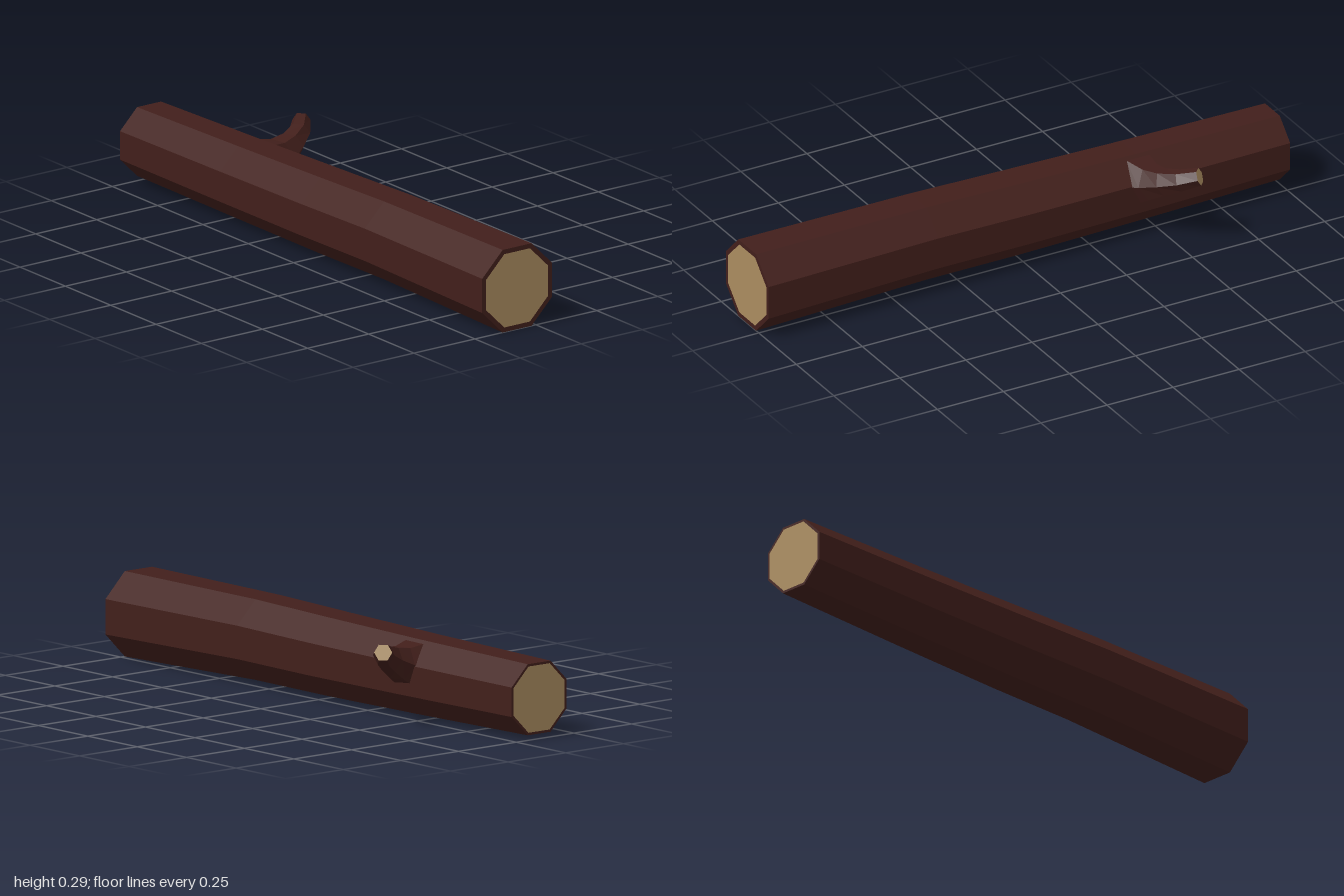
import * as THREE from 'three';

const bark = new THREE.MeshStandardMaterial({ color: 0x421f1b, flatShading: true });
const wood = new THREE.MeshStandardMaterial({ color: 0xab8d60, flatShading: true });

// Ring of points around a centre, counterclockwise about the reverse of dir
function ring(center, dir, radius, sides, phase) {
  const t = dir.clone().normalize();
  const u = new THREE.Vector3(0, 1, 0).cross(t).normalize();
  const v = t.clone().negate().cross(u);
  return Array.from({ length: sides }, (_, i) => {
    const a = phase + (i / sides) * Math.PI * 2;
    return center.clone().addScaledVector(u, radius * Math.cos(a)).addScaledVector(v, radius * Math.sin(a));
  });
}

function meshOf(points, material, name) {
  const geometry = new THREE.BufferGeometry().setFromPoints(points);
  geometry.computeVertexNormals();
  const mesh = new THREE.Mesh(geometry, material);
  mesh.name = name;
  return mesh;
}

// Skin joining successive rings
function loft(rings, name) {
  const points = [];
  for (let i = 0; i < rings.length - 1; i++) {
    const r = rings[i], s = rings[i + 1];
    r.forEach((a, j) => {
      const k = (j + 1) % r.length;
      points.push(a, s[j], r[k], r[k], s[j], s[k]);
    });
  }
  return meshOf(points, bark, name);
}

// Flat cut face filling a ring
function cutFace(loop, atEnd, name) {
  const points = [];
  for (let i = 1; i < loop.length - 1; i++) {
    points.push(loop[0], ...(atEnd ? [loop[i + 1], loop[i]] : [loop[i], loop[i + 1]]));
  }
  return meshOf(points, wood, name);
}

export function createModel() {
  const log = new THREE.Group();
  log.name = 'log';

  // Trunk: octagonal sections as [x, y, z, half width], tapering to the back
  const back = new THREE.Vector3(0, 0, -1);
  const section = ([x, y, z, half]) =>
    ring(new THREE.Vector3(x, y, z), back, half / Math.cos(Math.PI / 8), 8, Math.PI / 8);
  const sections = [
    [-0.077, 0.144, 1, 0.143],
    [-0.083, 0.149, 0.35, 0.135],
    [-0.086, 0.143, 0, 0.132],
    [-0.091, 0.139, -0.45, 0.126],
    [-0.099, 0.137, -1, 0.119],
  ];
  const frontRim = section([-0.077, 0.144, 1, 0.127]);
  const backRim = section([-0.099, 0.137, -1, 0.111]);
  log.add(loft([frontRim, ...sections.map(section), backRim], 'trunkBark'));
  log.add(cutFace(frontRim, false, 'frontCut'), cutFace(backRim, true, 'backCut'));

  // Branch stub: flared at the trunk, curving up and backwards
  const path = [
    [-0.02, 0.18, -0.455, 0.09],
    [0.045, 0.195, -0.465, 0.062],
    [0.1, 0.217, -0.48, 0.046],
    [0.153, 0.24, -0.51, 0.037],
    [0.197, 0.262, -0.557, 0.03],
  ];
  const centers = path.map(([x, y, z]) => new THREE.Vector3(x, y, z));
  const rings = path.map((p, i) => {
    const dir = centers[Math.min(i + 1, path.length - 1)].clone().sub(centers[Math.max(i - 1, 0)]);
    return ring(centers[i], dir, p[3], 6, 0);
  });
  log.add(loft(rings, 'branchBark'));
  log.add(cutFace(rings[rings.length - 1], true, 'branchCut'));

  return log;
}
